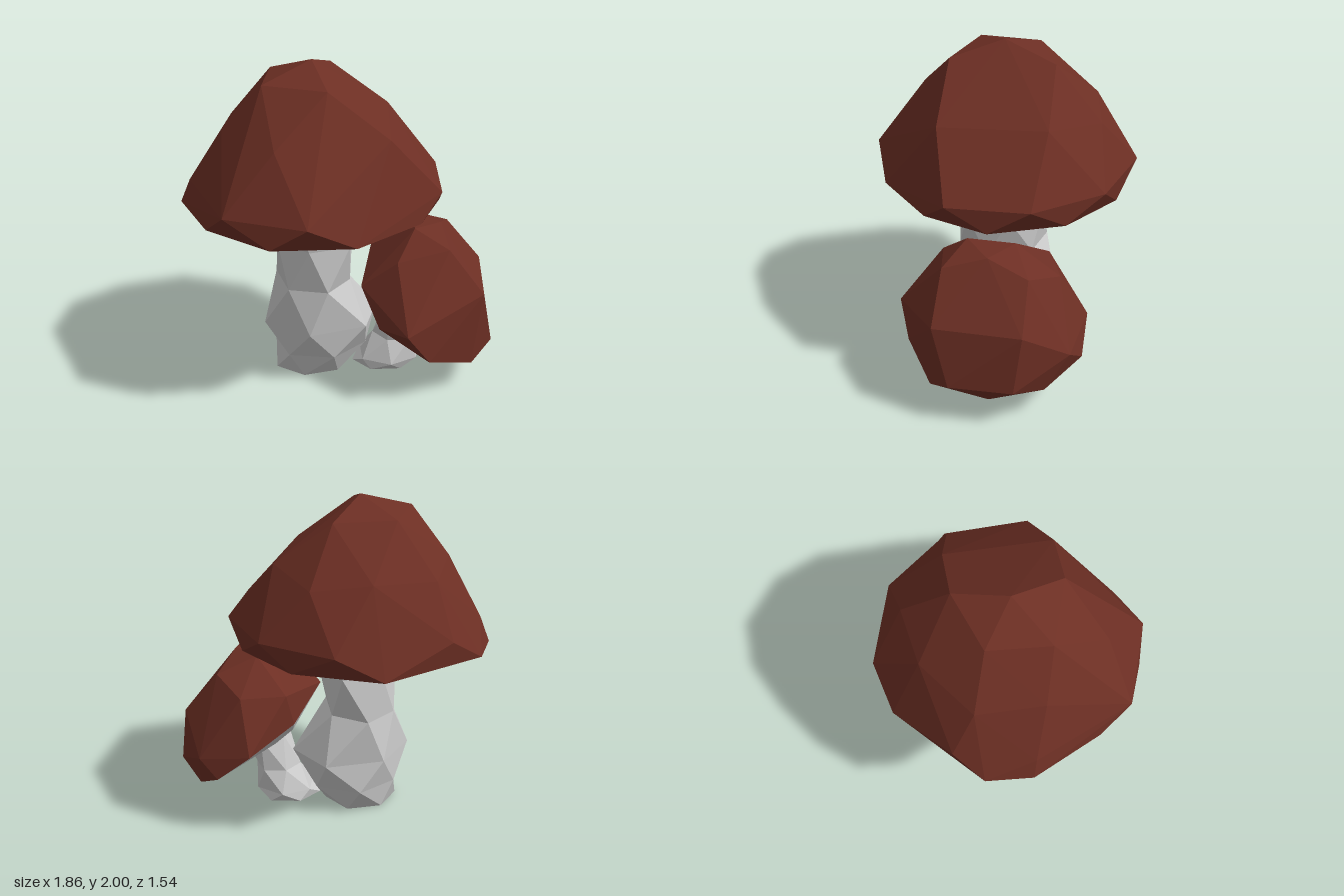
import * as THREE from 'three';
import { ConvexGeometry } from 'three/addons/geometries/ConvexGeometry.js';

const capMat = new THREE.MeshStandardMaterial({ color: 0x6d2f24 });
capMat.name = 'russet cap';
const paleMat = new THREE.MeshStandardMaterial({ color: 0xcacaca });
paleMat.name = 'pale grey flesh';

// Faceted mesh from a list of corner vectors, three per triangle
function facets(name, corners, material) {
  const geometry = new THREE.BufferGeometry().setFromPoints(corners);
  geometry.computeVertexNormals();
  const mesh = new THREE.Mesh(geometry, material);
  mesh.name = name;
  return mesh;
}

// Stem: rings [x, y, z, radiusX, radiusZ], each turned half a step from the last
function stem(name, rings, sides, start) {
  const loops = rings.map(([x, y, z, rx, rz], k) =>
    Array.from({ length: sides }, (_, i) => {
      const a = ((i + k / 2 + start) / sides) * Math.PI * 2;
      const w = 1 + 0.05 * Math.sin(i * 2.6 + k * 1.7);
      return new THREE.Vector3(x + Math.cos(a) * rx * w, y, z + Math.sin(a) * rz * w);
    }));
  const tris = [];
  for (let i = 0; i < sides; i++) {
    const j = (i + 1) % sides;
    for (let k = 0; k + 1 < loops.length; k++) {
      const low = loops[k], up = loops[k + 1];
      tris.push(low[i], up[i], low[j], up[i], up[j], low[j]);
    }
    if (i > 0 && j > 0) tris.push(loops[0][0], loops[0][i], loops[0][j]);
  }
  return facets(name, tris, paleMat);
}

// Cap: convex shell over the points; faces looking down its axis become gills,
// and the flat middle of the gills is replaced by a hollow for the stem
function cap(prefix, points, centre, axis, radius, depth) {
  axis.normalize();
  const turn = new THREE.Quaternion().setFromUnitVectors(new THREE.Vector3(0, 1, 0), axis);
  const ring = Array.from({ length: 8 }, (_, i) => {
    const a = ((i + 0.5) / 8) * Math.PI * 2;
    return new THREE.Vector3(Math.cos(a) * radius, 0, Math.sin(a) * radius)
      .applyQuaternion(turn).add(centre);
  });
  const hull = new ConvexGeometry([...points.map(p => new THREE.Vector3(...p)), ...ring]);
  const pos = hull.getAttribute('position');
  const shell = [], gills = [], normal = new THREE.Vector3();
  for (let i = 0; i < pos.count; i += 3) {
    const t = [0, 1, 2].map(k => new THREE.Vector3().fromBufferAttribute(pos, i + k));
    if (t.every(v => v.clone().sub(centre).dot(axis) < 1e-3)) continue;
    new THREE.Triangle(...t).getNormal(normal);
    (normal.dot(axis) < -0.75 ? gills : shell).push(...t);
  }
  const apex = centre.clone().addScaledVector(axis, depth);
  ring.forEach((v, i) => gills.push(apex, v, ring[(i + 1) % ring.length]));
  const group = new THREE.Group();
  group.name = prefix + 'Cap';
  group.add(facets(prefix + 'CapShell', shell, capMat), facets(prefix + 'Gills', gills, paleMat));
  return group;
}

export function createModel() {
  const model = new THREE.Group();
  model.name = 'mushrooms';

  // Large mushroom
  model.add(stem('largeStem', [
    [-0.19, 0, 0, 0.22, 0.2],
    [-0.14, 0.16, 0.01, 0.28, 0.29],
    [-0.12, 0.35, 0.03, 0.37, 0.32],
    [-0.19, 0.63, 0.04, 0.23, 0.29],
    [-0.17, 0.9, 0.05, 0.25, 0.27],
    [-0.13, 1.15, 0.04, 0.28, 0.28],
  ], 6, 0));
  model.add(cap('large', [
    // crown
    [-0.18, 2, 0.02], [-0.51, 1.9, 0.1], [-0.2, 1.9, 0.35], [0.03, 1.9, -0.24], [-0.35, 1.9, -0.24],
    // shoulder
    [0.36, 1.64, -0.12], [0.13, 1.62, 0.49], [-0.55, 1.62, 0.45], [-0.71, 1.62, -0.05],
    [-0.55, 1.58, -0.42], [-0.15, 1.62, -0.55], [0.2, 1.58, -0.48],
    // upper rim
    [-0.86, 1.27, 0.45], [-0.47, 1.27, 0.77], [0.45, 1.27, 0.51], [0.62, 1.27, 0.04],
    [0.49, 1.27, -0.43], [0.1, 1.27, -0.74], [-0.61, 1.27, -0.6], [-0.88, 1.27, -0.2],
    // lower rim
    [-0.93, 1.12, -0.24], [-0.81, 1.13, -0.5], [-0.18, 1.12, -0.77], [0.32, 1.12, -0.55],
    [0.56, 1.13, -0.18], [0.54, 1.12, 0.28], [0.28, 1.13, 0.6], [-0.18, 1.12, 0.77],
    [-0.65, 1.13, 0.65], [-0.9, 1.12, 0.23],
  ], new THREE.Vector3(-0.17, 1.05, 0.06), new THREE.Vector3(0, 1, 0), 0.45, 0.25));

  // Small leaning mushroom
  model.add(stem('smallStem', [
    [0.25, 0, 0.13, 0.19, 0.17],
    [0.27, 0.06, 0.15, 0.19, 0.2],
    [0.32, 0.2, 0.16, 0.14, 0.15],
    [0.4, 0.42, 0.21, 0.16, 0.16],
  ], 6, 0.25));
  model.add(cap('small', [
    // crown
    [0.56, 0.97, 0.28], [0.35, 0.99, 0.36], [0.45, 0.98, 0.09],
    // shoulder
    [0.7, 0.88, 0.07], [0.5, 0.9, 0.54], [0.19, 0.84, 0.48], [0.3, 0.8, -0.15], [0.58, 0.8, -0.15],
    // upper rim
    [0.9, 0.62, 0.15], [0.69, 0.62, 0.64], [0.01, 0.66, 0.35], [0.15, 0.48, 0.75],
    [0.93, 0.26, 0.21], [0.79, 0.26, 0.57], [0.84, 0.42, -0.15], [0.55, 0.49, -0.33],
    // lower rim
    [0.05, 0.46, 0.55], [0.3, 0.28, 0.73], [0.62, 0.17, 0.65], [0.8, 0.14, 0.33],
    [0.83, 0.18, 0], [0.74, 0.32, -0.25], [0.25, 0.6, -0.13],
  ], new THREE.Vector3(0.425, 0.31, 0.2), new THREE.Vector3(0.445, 0.85, 0.28), 0.25, 0.15));

  return model;
}
